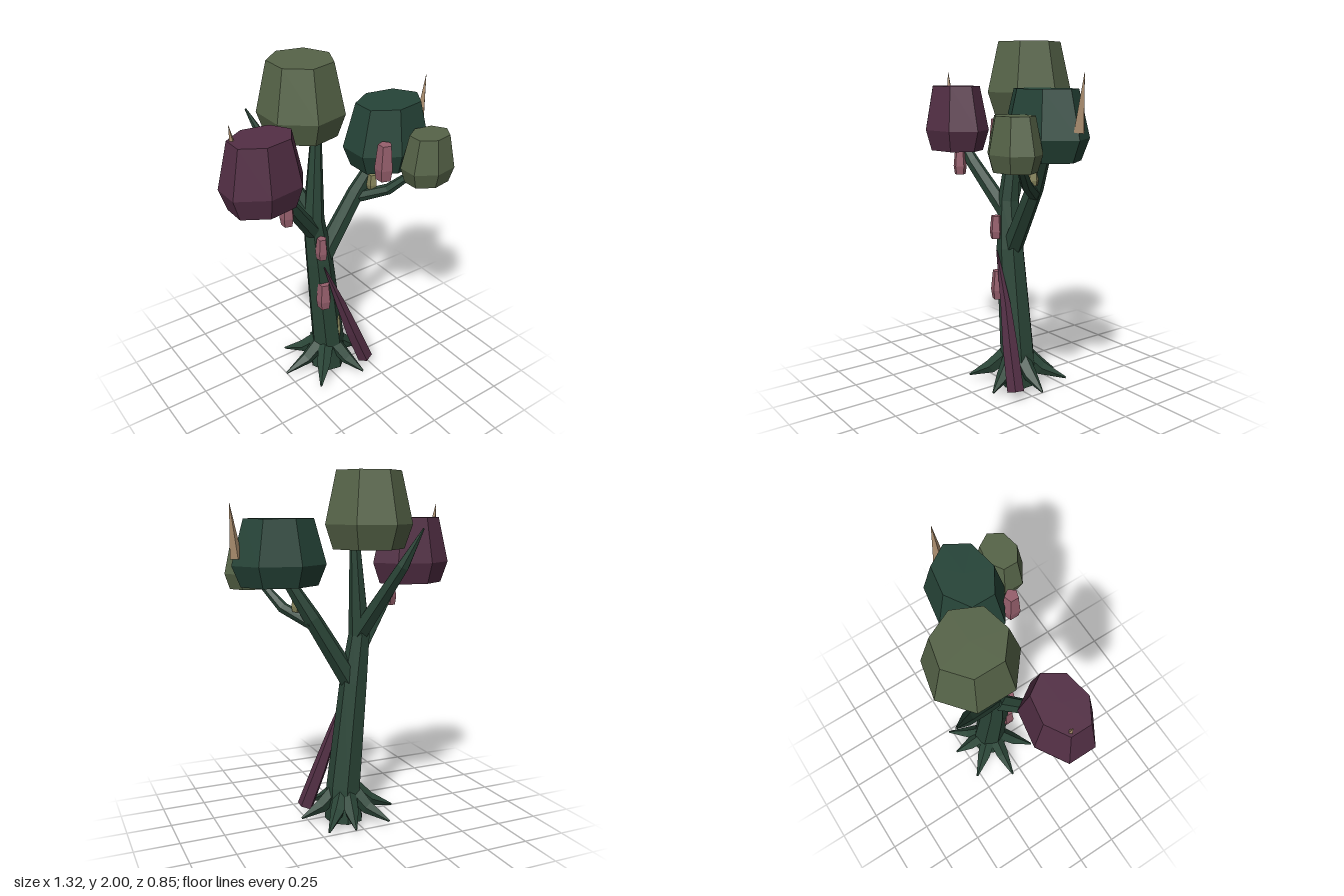
import * as THREE from 'three';

const mat = (name, color) => {
  const m = new THREE.MeshStandardMaterial({ color });
  m.name = name;
  return m;
};

// Unshared corners give faceted normals
const facet = (g) => {
  const f = g.index ? g.toNonIndexed() : g;
  f.computeVertexNormals();
  return f;
};

// Tapered, closed limb through points [x, y, z, radius]
function limbGeometry(points, sides) {
  const P = points.map((p) => new THREE.Vector3(p[0], p[1], p[2]));
  const pos = [], idx = [], zAxis = new THREE.Vector3(0, 0, 1);
  P.forEach((p, i) => {
    const t = P[Math.min(i + 1, P.length - 1)].clone().sub(P[i ? i - 1 : 0]).normalize();
    if (i === 0) t.copy(P[1]).sub(P[0]).normalize();
    const u = zAxis.clone().cross(t).normalize();
    const w = t.clone().cross(u);
    for (let k = 0; k < sides; k++) {
      const a = (k / sides) * Math.PI * 2, r = points[i][3];
      const v = p.clone().addScaledVector(u, r * Math.cos(a)).addScaledVector(w, r * Math.sin(a));
      pos.push(v.x, v.y, v.z);
    }
  });
  const n = P.length, start = n * sides, end = start + 1;
  pos.push(...P[0].toArray(), ...P[n - 1].toArray());
  for (let k = 0; k < sides; k++) {
    const k2 = (k + 1) % sides;
    for (let i = 0; i < n - 1; i++) {
      const a = i * sides + k, b = i * sides + k2;
      idx.push(a, b, a + sides, b, b + sides, a + sides);
    }
    idx.push(start, k2, k, end, (n - 1) * sides + k, (n - 1) * sides + k2);
  }
  const g = new THREE.BufferGeometry();
  g.setAttribute('position', new THREE.Float32BufferAttribute(pos, 3));
  g.setIndex(idx);
  return facet(g);
}

// Bud shape: flat base, widest low down, narrower flat top
function budGeometry(rx, rz, h, sides) {
  const profile = [[0, 0], [0.82, 0], [1, 0.32], [0.74, 1], [0, 1]].map(([r, y]) => new THREE.Vector2(r, y));
  const g = new THREE.LatheGeometry(profile, sides, Math.PI / 2);
  g.scale(rx, h, rz);
  return facet(g);
}

export function createModel() {
  const bark = mat('bark green', 0x2b4638);
  const leaf = mat('deep leaf green', 0x264438);
  const olive = mat('olive', 0x566448);
  const maroon = mat('maroon', 0x532f45);
  const pink = mat('dusty pink', 0x965f6c);
  const yellow = mat('dull yellow', 0x85835a);
  const tan = mat('thorn tan', 0xa68a6b);

  const model = new THREE.Group();
  model.name = 'tree';
  const add = (name, geometry, material, x = 0, y = 0, z = 0) => {
    const m = new THREE.Mesh(geometry, material);
    m.name = name;
    m.position.set(x, y, z);
    model.add(m);
    return m;
  };

  // Trunk and branches
  const limbs = {
    trunk: [[0.04, 0, -0.06, 0.115], [0.04, 0.2, -0.055, 0.103], [-0.025, 0.82, -0.05, 0.082],
      [-0.055, 1.1, -0.06, 0.063], [-0.01, 1.65, -0.09, 0.028]],
    rightBranch: [[-0.06, 1.02, -0.05, 0.05], [-0.28, 1.31, 0.04, 0.04], [-0.4, 1.46, 0.06, 0.025]],
    leftBranch: [[-0.01, 0.82, -0.05, 0.062], [0.22, 1.2, -0.03, 0.05], [0.37, 1.45, 0.01, 0.032]],
    leftTwig: [[0.22, 1.17, -0.03, 0.035], [0.34, 1.25, 0.12, 0.032], [0.44, 1.4, 0.25, 0.02]],
    backBranch: [[-0.05, 1.1, -0.06, 0.055], [-0.12, 1.29, -0.18, 0.046],
      [-0.19, 1.5, -0.32, 0.036], [-0.26, 1.7, -0.41, 0.005]],
  };
  for (const [name, points] of Object.entries(limbs)) add(name, limbGeometry(points, name === 'trunk' ? 7 : 6), bark);

  // Flared roots around the base
  [[3, 0.27], [66, 0.27], [132, 0.28], [183, 0.3], [232, 0.29], [280, 0.26], [311, 0.3]].forEach(([deg, reach]) => {
    const root = limbGeometry([[0.05, 0.18, 0, 0.05], [0.15, 0.09, 0, 0.042], [reach, 0.032, 0, 0.006]], 5);
    add('root', root, bark, 0.03, 0, -0.05).rotation.y = -THREE.MathUtils.degToRad(deg);
  });

  // Vine leaning on the trunk
  add('vine', limbGeometry([[0.225, 0.045, 0.1, 0.05], [0.14, 0.28, 0.075, 0.045],
    [0.06, 0.52, 0.05, 0.03], [-0.045, 0.81, 0.035, 0.004]], 5), maroon);

  // Canopies: name, material, rx, rz, height, base centre
  [
    ['topCanopy', olive, 0.245, 0.25, 0.41, -0.04, 1.59, -0.185],
    ['rightCanopy', maroon, 0.24, 0.18, 0.38, -0.437, 1.37, 0.058],
    ['leftCanopy', leaf, 0.27, 0.207, 0.365, 0.385, 1.385, 0.037],
    ['smallCanopy', olive, 0.163, 0.13, 0.275, 0.463, 1.35, 0.296],
  ].forEach(([name, m, rx, rz, h, x, y, z]) => add(name, budGeometry(rx, rz, h, 7), m, x, y, z));

  // Hanging pods: material, radius, height, base centre
  [
    [pink, 0.041, 0.15, -0.327, 1.235, 0.1],
    [pink, 0.053, 0.205, 0.222, 1.39, 0.215],
    [pink, 0.038, 0.135, -0.06, 0.88, 0.03],
    [pink, 0.047, 0.17, -0.042, 0.52, 0.025],
    [yellow, 0.033, 0.14, 0.058, 0.25, 0.015],
    [yellow, 0.033, 0.09, 0.287, 1.235, 0.035],
  ].forEach(([m, r, h, x, y, z]) => add('pod', budGeometry(r, r, h, 5), m, x, y, z));

  // Thorns on the side canopies
  add('leftThorn', limbGeometry([[0.63, 1.54, 0.022, 0.035], [0.66, 1.83, 0.02, 0.001]], 4), tan);
  add('rightThorn', limbGeometry([[-0.55, 1.56, 0.02, 0.04], [-0.583, 1.83, 0.012, 0.001]], 4), tan);

  return model;
}
